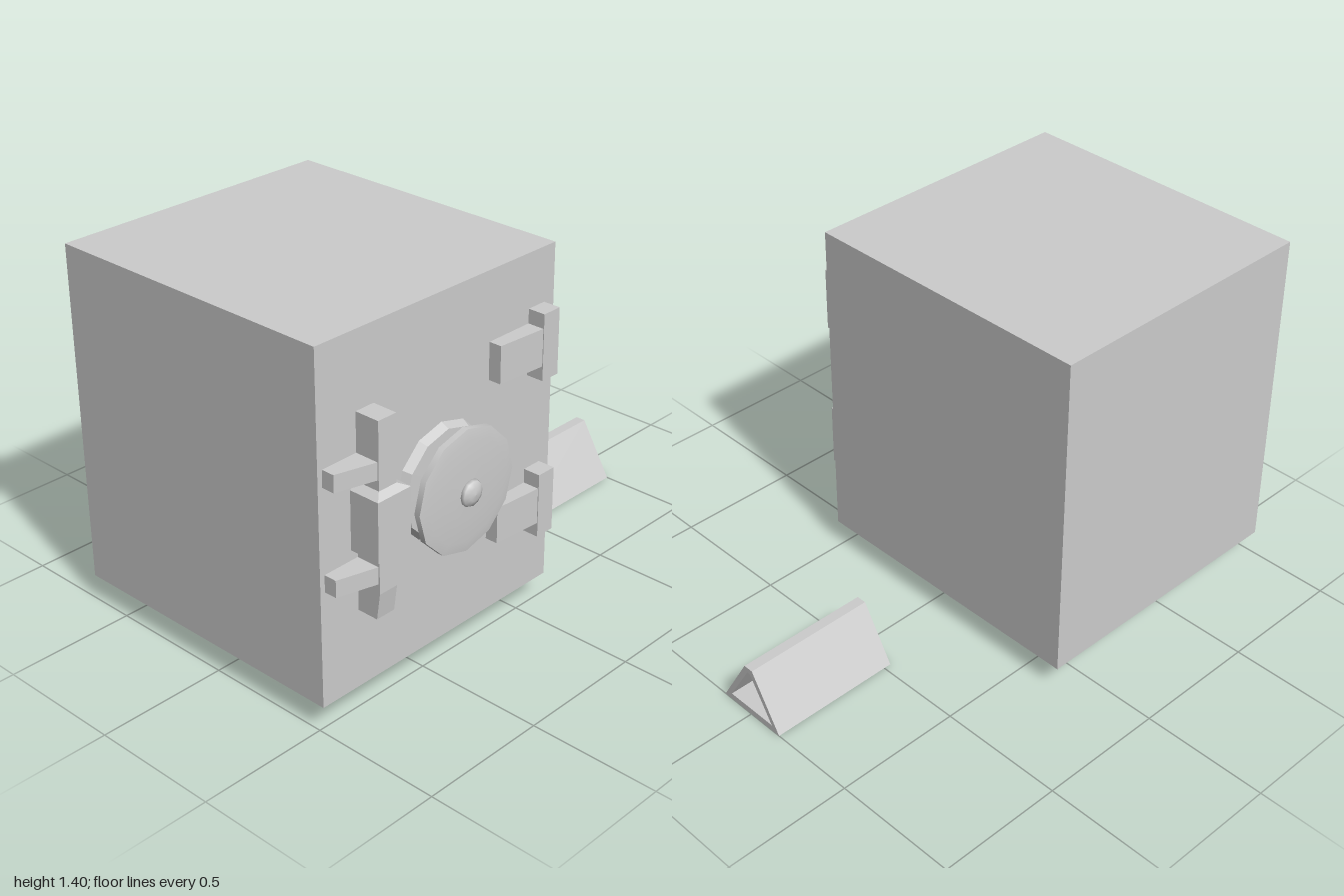
import * as THREE from 'three';

const mat = new THREE.MeshStandardMaterial({ color: 0xcccccc, side: THREE.DoubleSide });
const flat = new THREE.MeshStandardMaterial({ color: 0xcccccc, flatShading: true, side: THREE.DoubleSide });

function add(parent, name, geometry, material = flat) {
  const mesh = new THREE.Mesh(geometry, material);
  mesh.name = name;
  parent.add(mesh);
  return mesh;
}

// Box given by its limits
function box(x0, x1, y0, y1, z0, z1) {
  return new THREE.BoxGeometry(x1 - x0, y1 - y0, z1 - z0)
    .translate((x0 + x1) / 2, (y0 + y1) / 2, (z0 + z1) / 2);
}

// Box whose front face slopes from zLeft (at x0) to zRight (at x1)
function slopedBox(x0, x1, y0, y1, zBack, zLeft, zRight) {
  const s = new THREE.Shape([[x0, -zBack], [x0, -zLeft], [x1, -zRight], [x1, -zBack]]
    .map(([x, y]) => new THREE.Vector2(x, y)));
  return new THREE.ExtrudeGeometry(s, { depth: y1 - y0, bevelEnabled: false })
    .rotateX(-Math.PI / 2).translate(0, y0, 0);
}

// Loft of rectangles [y, x0, x1, zFront] sharing the same back plane
function rectLoft(sections, zBack) {
  const pos = [], idx = [];
  for (const [y, x0, x1, z] of sections) pos.push(x0, y, zBack, x0, y, z, x1, y, z, x1, y, zBack);
  for (let i = 0; i < sections.length - 1; i++) {
    for (let k = 0; k < 4; k++) {
      const a = i * 4 + k, b = i * 4 + (k + 1) % 4;
      idx.push(a, b, b + 4, a, b + 4, a + 4);
    }
  }
  const t = (sections.length - 1) * 4;
  idx.push(0, 2, 1, 0, 3, 2, t, t + 1, t + 2, t, t + 2, t + 3);
  const g = new THREE.BufferGeometry();
  g.setAttribute('position', new THREE.Float32BufferAttribute(pos, 3));
  g.setIndex(idx);
  g.computeVertexNormals();
  return g;
}

const lathe = (points, sides) =>
  new THREE.LatheGeometry(points.map(([r, y]) => new THREE.Vector2(r, y)), sides);

export function createModel() {
  const model = new THREE.Group();
  model.name = 'safeAndSign';
  const safe = new THREE.Group();
  safe.name = 'safe';
  model.add(safe);

  const FRONT = 0.52;
  add(safe, 'body', box(-1, 0.13, 0.1, 1.405, -0.67, FRONT));

  // Feet
  const footProfile = [[0, 0.025], [0.062, 0.025], [0.068, 0.07], [0.083, 0.087], [0.083, 0.1]];
  for (const x of [-0.83, -0.04]) {
    for (const z of [0.335, -0.33]) add(safe, 'foot', lathe(footProfile, 10)).position.set(x, 0, z);
  }

  // Hinges: strap and upright plate
  for (const y of [1.077, 0.463]) {
    const hinge = new THREE.Group();
    hinge.name = 'hinge';
    hinge.position.y = y;
    safe.add(hinge);
    add(hinge, 'hingeStrap', slopedBox(-0.2, 0, -0.07, 0.07, FRONT, 0.57, 0.585));
    add(hinge, 'hingePlate', box(0, 0.08, -0.124, 0.124, FRONT, 0.588));
  }

  // Latch handle with swollen grip, and its two side arms
  add(safe, 'latchHandle', rectLoft([
    [0.4, -0.83, -0.75, 0.603], [0.5, -0.83, -0.75, 0.617], [0.625, -0.83, -0.75, 0.617],
    [0.64, -0.86, -0.71, 0.642], [0.86, -0.86, -0.71, 0.642],
    [0.88, -0.83, -0.75, 0.617], [1.127, -0.83, -0.75, 0.617],
  ], FRONT));
  for (const y of [0.57, 0.95]) {
    add(safe, 'latchArm', slopedBox(-0.98, -0.82, y - 0.032, y + 0.032, FRONT, 0.57, 0.615));
  }

  // Combination wheel: dish on the door, spindle, wheel and knob
  const dial = new THREE.Group();
  dial.name = 'dial';
  dial.position.set(-0.435, 0.725, FRONT);
  dial.rotation.x = Math.PI / 2;
  safe.add(dial);
  add(dial, 'dialBase', lathe([[0.215, 0], [0.2, 0.032], [0.07, 0.036], [0.07, 0.042], [0.04, 0.044]], 12));
  add(dial, 'spindle', lathe([[0.04, 0.03], [0.04, 0.075], [0.065, 0.09]], 12), mat);
  add(dial, 'wheel', lathe([[0, 0.09], [0.18, 0.09], [0.225, 0.093], [0.229, 0.1]], 12), mat);
  add(dial, 'wheelRim', lathe([[0.229, 0.093], [0.229, 0.116]], 12), mat);
  add(dial, 'wheelFace', lathe([[0.229, 0.116], [0.19, 0.122], [0.1, 0.126], [0, 0.128]], 12), mat);
  add(dial, 'knob', lathe([[0.035, 0.122], [0.05, 0.132], [0.045, 0.144], [0.025, 0.153], [0, 0.156]], 12), mat);

  // Hollow folded sign lying beside the safe
  const outline = new THREE.Shape([[-0.15, 0], [0.15, 0], [0.02, 0.22], [-0.02, 0.22]]
    .map(([x, y]) => new THREE.Vector2(x, y)));
  outline.holes.push(new THREE.Path([[-0.112, 0.025], [-0.007, 0.198], [0.007, 0.198], [0.112, 0.025]]
    .map(([x, y]) => new THREE.Vector2(x, y))));
  add(model, 'sign', new THREE.ExtrudeGeometry(outline, { depth: 0.53, bevelEnabled: false })
    .rotateY(Math.PI / 2).translate(0.47, 0, -0.003));

  return model;
}
